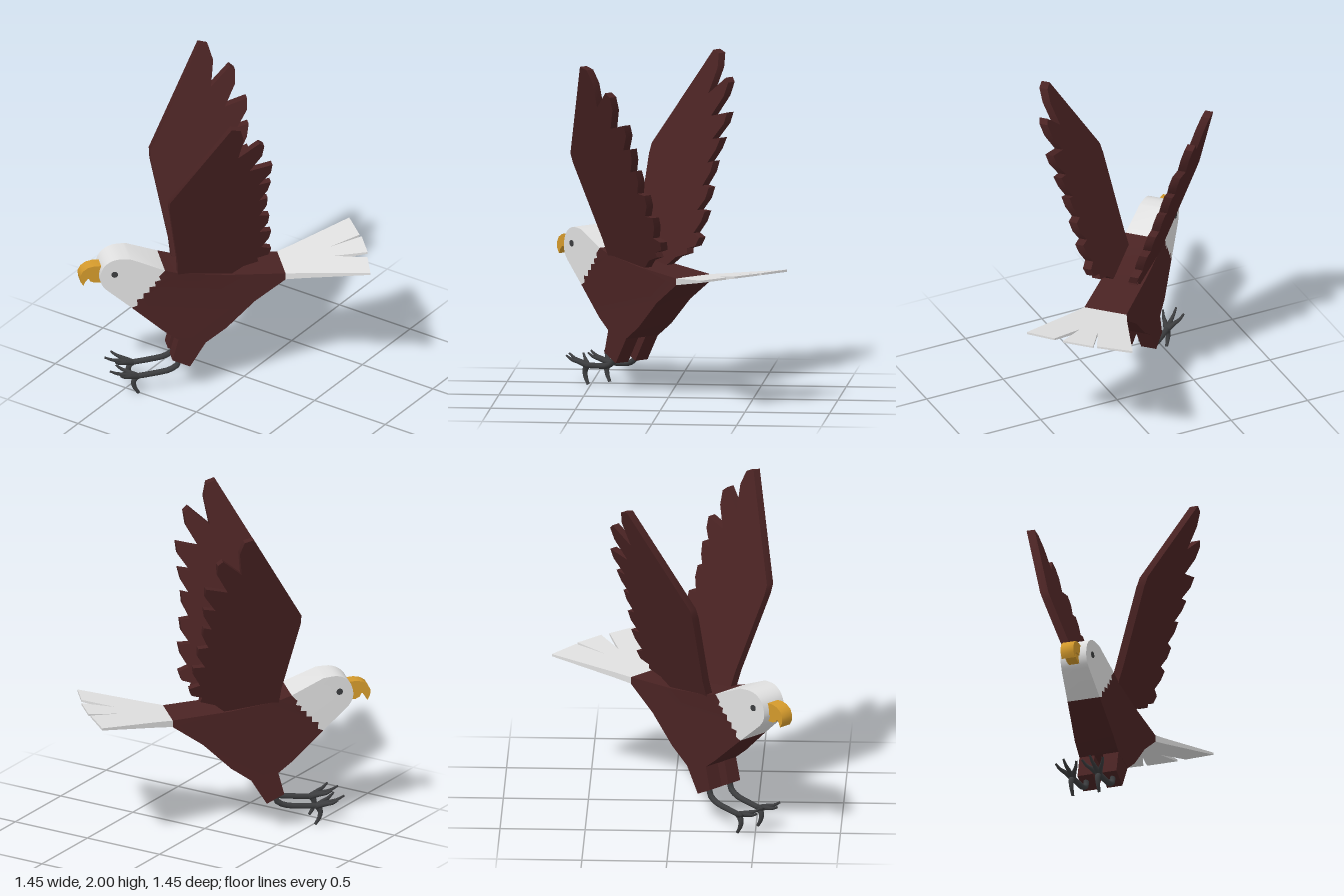
import * as THREE from 'three';
import { toCreasedNormals } from 'three/addons/utils/BufferGeometryUtils.js';

const mat = (name, color) => {
  const m = new THREE.MeshStandardMaterial({ color });
  m.name = name;
  return m;
};

// Apply a rule to every vertex, then rebuild normals with sharp edges
function reshape(geo, rule) {
  const p = geo.attributes.position;
  const v = new THREE.Vector3();
  for (let i = 0; i < p.count; i++) {
    v.fromBufferAttribute(p, i);
    rule(v);
    p.setXYZ(i, v.x, v.y, v.z);
  }
  geo.computeVertexNormals();
  return toCreasedNormals(geo, 0.6);
}

const shapeOf = pts => new THREE.Shape(pts.map(p => new THREE.Vector2(p[0], p[1])));

// Side profile given as [forward, up], extruded across x and centred
function profile(pts, width, rule) {
  const geo = new THREE.ExtrudeGeometry(shapeOf(pts), { depth: width, bevelEnabled: false });
  geo.translate(0, 0, -width / 2);
  geo.rotateY(-Math.PI / 2);
  return reshape(geo, rule || (() => {}));
}

// Tube that narrows from r0 to r1 along its path
function limb(pts, r0, r1) {
  const curve = new THREE.CatmullRomCurve3(pts.map(p => new THREE.Vector3(...p)));
  const n = 10, sides = 8;
  const geo = new THREE.TubeGeometry(curve, n, 1, sides, false);
  const p = geo.attributes.position;
  const v = new THREE.Vector3();
  for (let i = 0; i < p.count; i++) {
    const t = Math.floor(i / (sides + 1)) / n;
    const c = curve.getPointAt(t);
    v.fromBufferAttribute(p, i).sub(c).multiplyScalar(r0 + (r1 - r0) * t).add(c);
    p.setXYZ(i, v.x, v.y, v.z);
  }
  return geo;
}

// Half width of the body and head at a forward position
const halfWidth = z => (z < 0.5 ? 0.13 - 0.01 * (z + 0.22) / 0.72 : 0.12 - 0.04 * (z - 0.5) / 0.375);

export function createModel() {
  const brown = mat('brown plumage', 0x4a2323);
  const white = mat('white plumage', 0xe0e0e0);
  const yellow = mat('yellow beak', 0xd49a2c);
  const grey = mat('dark grey', 0x3c3d3f);

  const bird = new THREE.Group();
  bird.name = 'bird';
  const add = (name, geo, material) => {
    const m = new THREE.Mesh(geo, material);
    m.name = name;
    bird.add(m);
    return m;
  };

  // Ragged collar shared by body and head
  const collar = [
    [0.495, 0.838], [0.53, 0.8], [0.52, 0.775], [0.555, 0.765], [0.55, 0.735], [0.585, 0.73],
    [0.585, 0.695], [0.62, 0.69], [0.62, 0.655], [0.66, 0.65], [0.655, 0.61], [0.69, 0.595],
  ];
  const taper = v => { v.x *= halfWidth(v.z); };
  const body = [
    ...collar, [0.5, 0.425], [0.41, 0.355], [0.25, 0.325], [0.13, 0.41], [-0.04, 0.575],
    [-0.225, 0.705], [-0.225, 0.745], [0.12, 0.77], [0.41, 0.81],
  ];
  add('body', profile(body, 2, taper), brown);

  // Head with a rounded crown and face
  const crown = new THREE.SplineCurve([
    [0.84, 0.725], [0.865, 0.76], [0.875, 0.805], [0.86, 0.865], [0.825, 0.905], [0.77, 0.926], [0.69, 0.922],
  ].map(p => new THREE.Vector2(...p))).getPoints(20).map(p => [p.x, p.y]);
  add('head', profile([...collar, ...crown], 2, taper), white);

  // Hooked beak
  add('upperBeak', profile([
    [0.85, 0.862], [0.9, 0.866], [0.94, 0.858], [0.97, 0.838], [0.987, 0.805],
    [0.985, 0.77], [0.968, 0.74], [0.957, 0.765], [0.94, 0.785], [0.85, 0.795],
  ], 0.08), yellow);
  add('lowerBeak', profile([[0.85, 0.795], [0.935, 0.785], [0.925, 0.762], [0.9, 0.75], [0.85, 0.748]], 0.064), yellow);

  // Flat tail fan with three feathers, thinning to the rear
  const tail = new THREE.ExtrudeGeometry(shapeOf([
    [-0.131, 0.223], [0.131, 0.223], [0.168, 0.32], [0.328, 0.693], [0.15, 0.71], [0.055, 0.528],
    [0.094, 0.722], [-0.094, 0.722], [-0.055, 0.528], [-0.115, 0.714], [-0.328, 0.693], [-0.168, 0.32],
  ]), { depth: 1, bevelEnabled: false });
  tail.translate(0, 0, -0.5);
  tail.rotateX(-Math.PI / 2);
  add('tail', reshape(tail, v => {
    const t = (-v.z - 0.223) / 0.5;
    v.y = 0.725 + 0.083 * t + v.y * (0.04 - 0.028 * t);
  }), white);

  // Raised wings: leading edge, tip, then the feathered trailing edge
  const wing = [
    [0.415, 0.76], [0.425, 0.9], [0.505, 1.36], [0.505, 1.42], [0.175, 1.995], [0.12, 1.98], [0.097, 1.9],
    [0.12, 1.75], [0, 1.855], [-0.03, 1.83], [-0.022, 1.75], [0.045, 1.63],
    [-0.09, 1.665], [-0.085, 1.6], [-0.02, 1.505], [-0.09, 1.52], [-0.075, 1.45],
    [-0.03, 1.37], [-0.08, 1.385], [-0.078, 1.32], [-0.04, 1.24], [-0.1, 1.235], [-0.095, 1.17],
    [-0.05, 1.1], [-0.12, 1.1], [-0.11, 1.04], [-0.07, 0.97], [-0.13, 0.95], [-0.115, 0.9],
    [-0.05, 0.88], [-0.06, 0.85], [0.03, 0.82], [0.1, 0.76],
  ];

  for (const side of [1, -1]) {
    const label = side > 0 ? 'left' : 'right';
    add(label + 'Wing', profile(wing, 0.05, v => {
      v.x += side * (0.095 + 0.345 * (v.y - 0.8));
    }), brown);

    // Eye disc lying on the slanted cheek
    const eye = add(label + 'Eye', new THREE.CylinderGeometry(0.019, 0.019, 0.008, 20), grey);
    eye.position.set(side * halfWidth(0.79), 0.826, 0.79);
    eye.rotation.set(0, -side * 0.107, -side * Math.PI / 2, 'YXZ');

    // Feathered thigh
    add(label + 'Thigh', profile([
      [0.4, 0.4], [0.415, 0.355], [0.45, 0.222], [0.345, 0.17], [0.25, 0.325], [0.28, 0.42],
    ], 0.094, v => { v.x += side * 0.074; }), brown);

    // Shank, three spread toes and a rear claw
    const s = side * 0.082;
    add(label + 'Shank', limb([
      [s, 0.23, 0.4], [s, 0.17, 0.412], [s, 0.14, 0.46], [s, 0.125, 0.56], [s, 0.115, 0.68],
    ], 0.018, 0.017), grey);
    for (const k of [-1, 0, 1]) {
      const reach = k ? 0.11 : 0.16;
      add(label + 'Toe', limb([
        [s, 0.115, 0.65], [s + k * 0.03, 0.135, 0.66 + reach * 0.4],
        [s + k * 0.05, 0.145, 0.66 + reach * 0.7], [s + k * 0.065, 0.168, 0.66 + reach],
      ], 0.019, 0.006), grey);
    }
    add(label + 'RearClaw', limb([
      [s, 0.125, 0.65], [s, 0.085, 0.675], [s, 0.045, 0.67], [s, 0.002, 0.645],
    ], 0.02, 0.009), grey);
  }

  // The bird faces diagonally
  bird.rotation.y = -Math.PI / 4;
  bird.position.set(-0.003, 0, -0.003);
  const model = new THREE.Group();
  model.name = 'raptor';
  model.add(bird);
  return model;
}
